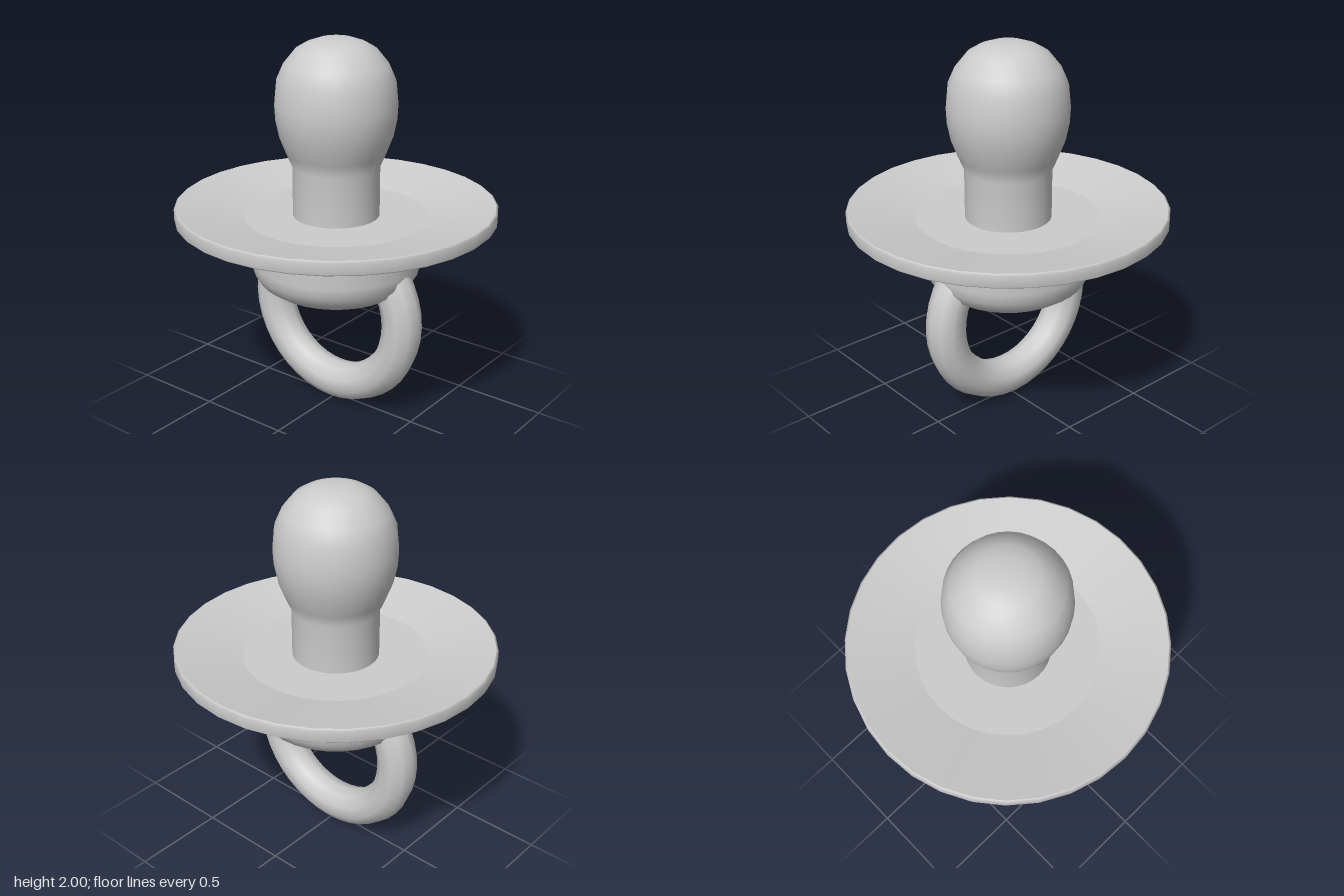
import * as THREE from 'three';

const SEGMENTS = 32;

export function createModel() {
  const model = new THREE.Group();
  const material = new THREE.MeshStandardMaterial({ color: 0xcccccc });

  const add = (name, geometry, parent = model) => {
    const mesh = new THREE.Mesh(geometry, material);
    mesh.name = name;
    parent.add(mesh);
    return mesh;
  };
  // Profiles run from bottom to top as [radius, height]
  const lathe = (profile) =>
    new THREE.LatheGeometry(profile.map(([r, y]) => new THREE.Vector2(r, y)), SEGMENTS);

  // Soft bulb on a straight neck
  add('teat', lathe([
    [0.228, 1.07], [0.228, 1.34], [0.258, 1.41], [0.293, 1.5], [0.311, 1.59], [0.315, 1.67],
    [0.303, 1.79], [0.267, 1.87], [0.205, 1.945], [0.15, 1.977], [0.08, 2], [0, 2],
  ]));

  // Dished shield: separate bands keep the edges sharp
  const shield = new THREE.Group();
  shield.name = 'shield';
  model.add(shield);
  const bands = {
    shieldUnderside: [[0.44, 1], [0.832, 1.07]],
    shieldRim: [[0.832, 1.07], [0.843, 1.08], [0.843, 1.137], [0.832, 1.145]],
    shieldDish: [[0.832, 1.145], [0.485, 1.075]],
    shieldFloor: [[0.485, 1.075], [0, 1.075]],
  };
  for (const [name, profile] of Object.entries(bands)) add(name, lathe(profile), shield);

  // Rounded knob below the shield
  add('knob', lathe([
    [0, 0.664], [0.27, 0.664], [0.35, 0.68], [0.41, 0.722], [0.441, 0.775], [0.449, 0.83], [0.449, 1.01],
  ]));

  // Pull ring whose upper part passes through the knob
  const ring = add('ring', new THREE.TorusGeometry(0.43, 0.105, 10, 40));
  ring.position.y = 0.538;

  return model;
}
